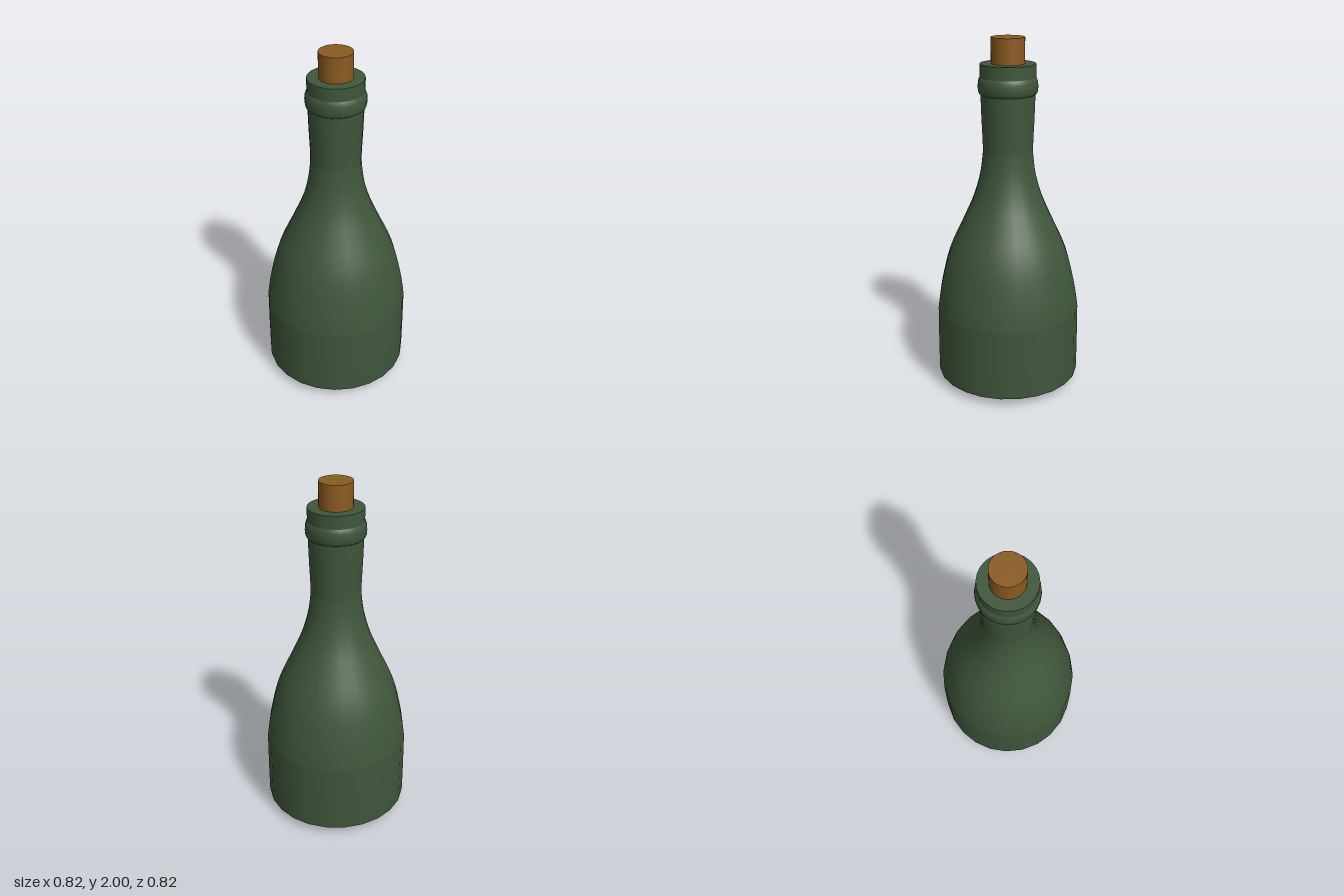
import * as THREE from 'three';

const SEGMENTS = 24;
const glass = new THREE.MeshStandardMaterial({ color: 0x3f563b, side: THREE.DoubleSide });
const corkMaterial = new THREE.MeshStandardMaterial({ color: 0x8a5a20 });

const points = (pairs) => pairs.map(([r, y]) => new THREE.Vector2(r, y));

// One turned section; separate sections keep sharp edges between them.
function turned(name, profile) {
  const mesh = new THREE.Mesh(new THREE.LatheGeometry(profile, SEGMENTS), glass);
  mesh.name = name;
  return mesh;
}

export function createModel() {
  const bottle = new THREE.Group();
  bottle.name = 'bottle';

  // Base with a shallow central point
  bottle.add(turned('base', points([[0, 0.005], [0.23, 0.05], [0.408, 0.052]])));

  // Straight wall
  bottle.add(turned('wall', points([[0.408, 0.052], [0.41, 0.07], [0.41, 0.25], [0.408, 0.46]])));

  // Rounded shoulder flowing into a slightly flared neck
  const shoulder = new THREE.SplineCurve(points([
    [0.408, 0.46], [0.386, 0.6], [0.335, 0.8], [0.245, 1.0], [0.193, 1.12],
    [0.158, 1.24], [0.142, 1.35], [0.14, 1.42], [0.146, 1.57], [0.15, 1.7],
  ]));
  bottle.add(turned('shoulderAndNeck', shoulder.getPoints(32)));

  // Rounded ring below the mouth
  bottle.add(turned('neckRing', points([
    [0.15, 1.695], [0.157, 1.7], [0.163, 1.715], [0.165, 1.74],
    [0.163, 1.765], [0.158, 1.78], [0.152, 1.79],
  ])));

  // Lip and flat mouth rim
  bottle.add(turned('lip', points([[0.153, 1.785], [0.153, 1.86]])));
  bottle.add(turned('mouthRim', points([[0.153, 1.86], [0.09, 1.86]])));

  // Cork
  const cork = new THREE.Mesh(new THREE.CylinderGeometry(0.092, 0.092, 0.24, 32), corkMaterial);
  cork.name = 'cork';
  cork.position.y = 1.88;
  bottle.add(cork);

  // Stand on the ground
  bottle.children.slice(0, 1).forEach((base) => { base.geometry.attributes.position.needsUpdate = true; });
  return bottle;
}
